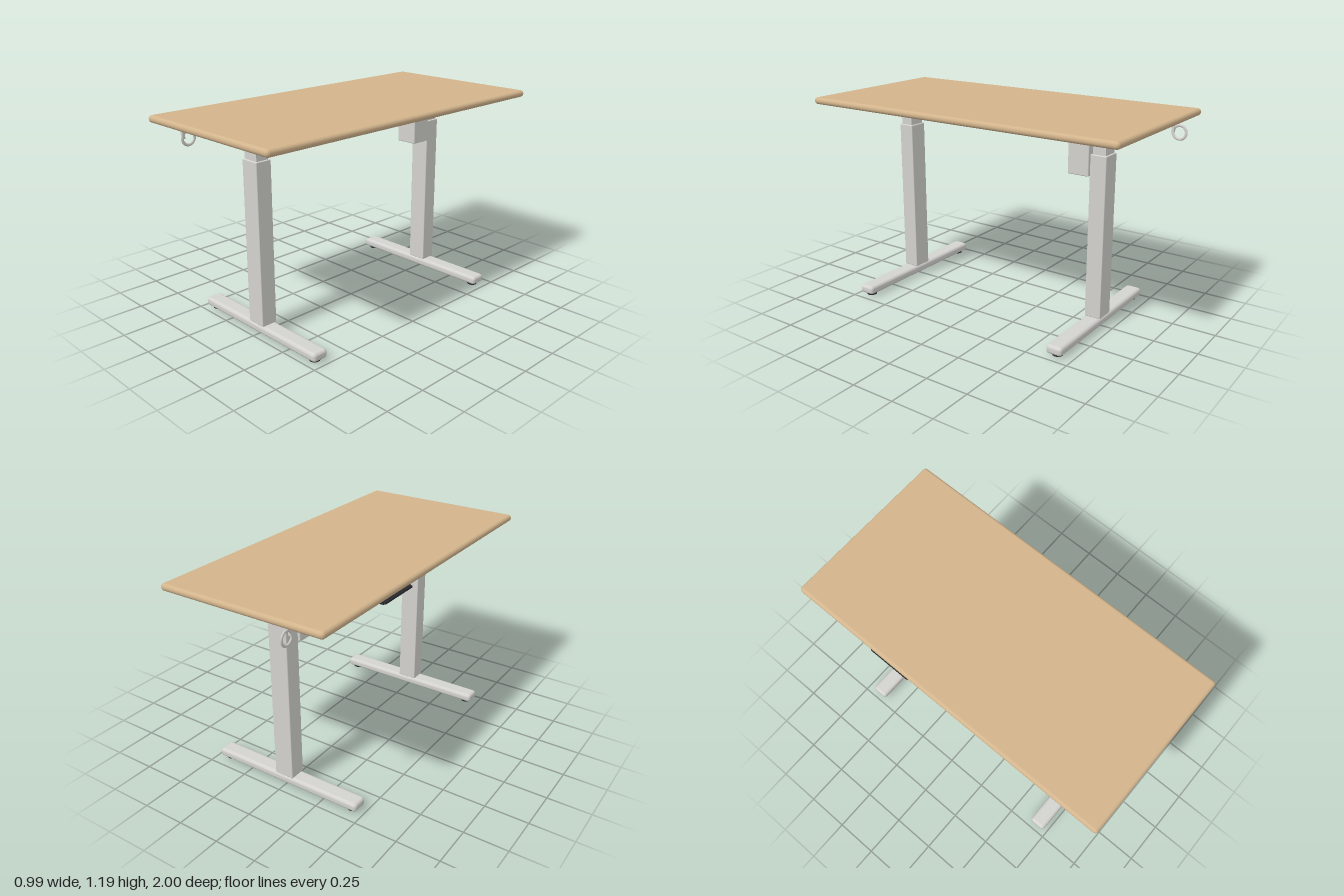
import * as THREE from 'three';
import { RoundedBoxGeometry } from 'three/addons/geometries/RoundedBoxGeometry.js';

const mat = (name, color) => {
  const m = new THREE.MeshStandardMaterial({ color });
  m.name = name;
  return m;
};

export function createModel() {
  const model = new THREE.Group();
  model.name = 'standingDesk';
  const wood = mat('tan wood', 0xd2b48c);
  const metal = mat('light grey metal', 0xd3d2ce);
  const dark = mat('black plastic', 0x2b2b30);

  const add = (name, geometry, material, x, y, z, parent = model) => {
    const mesh = new THREE.Mesh(geometry, material);
    mesh.name = name;
    mesh.position.set(x, y, z);
    parent.add(mesh);
    return mesh;
  };
  // Box given by its limits on each axis, with optional rounded edges
  const box = (name, material, [x0, x1], [y0, y1], [z0, z1], r = 0, parent = model) => {
    const size = [x1 - x0, y1 - y0, z1 - z0];
    const g = r ? new RoundedBoxGeometry(...size, r > 0.01 ? 5 : 2, r) : new THREE.BoxGeometry(...size);
    return add(name, g, material, (x0 + x1) / 2, (y0 + y1) / 2, (z0 + z1) / 2, parent);
  };

  // Tabletop with bullnose edges
  box('tabletop', wood, [-0.495, 0.495], [1.15, 1.19], [-0.983, 0.998], 0.0195);

  // Two telescopic legs, each with foot, pads and top bracket
  for (const [name, z] of [['frontLeg', 0.678], ['rearLeg', -0.652]]) {
    const leg = new THREE.Group();
    leg.name = name;
    leg.position.z = z;
    model.add(leg);
    box('foot', metal, [-0.472, 0.472], [0.013, 0.064], [-0.048, 0.048], 0.019, leg);
    box('outerColumn', metal, [-0.058, 0.058], [0.064, 0.99], [-0.048, 0.048], 0.005, leg);
    box('innerColumn', metal, [-0.048, 0.048], [0.97, 1.125], [-0.038, 0.038], 0, leg);
    box('topBracket', metal, [-0.357, 0.357], [1.122, 1.15], [-0.036, 0.036], 0.003, leg);
    for (const x of [-0.423, 0.423]) {
      add('footPad', new THREE.CylinderGeometry(0.029, 0.029, 0.016, 24), dark, x, 0.008, 0, leg);
    }
  }

  // Crossbeam and motor housing
  box('crossbeam', metal, [-0.04, 0.04], [1.056, 1.12], [-0.6, 0.625], 0.002);
  box('motorHousing', metal, [-0.067, 0.067], [0.868, 1.06], [-0.601, -0.475], 0.006);

  // Control panel under the long edge
  box('controlPanel', dark, [-0.484, -0.384], [1.128, 1.15], [-0.475, -0.216], 0.004);
  box('controlPanelLip', dark, [-0.495, -0.48], [1.132, 1.145], [-0.473, -0.218], 0.004);

  // Ring hooks near both short edges
  for (const z of [0.901, -0.953]) {
    const hook = new THREE.Group();
    hook.name = 'ringHook';
    hook.position.set(-0.27, 1.092, z);
    model.add(hook);
    const ring = add('hookRing', new THREE.TorusGeometry(0.037, 0.008, 10, 36), metal, 0, 0, 0, hook);
    ring.rotation.y = Math.PI / 2;
    ring.scale.z = 0.65;
    box('hookStem', metal, [-0.003, 0.012], [0, 0.06], [0.026, 0.042], 0, hook);
  }
  return model;
}
